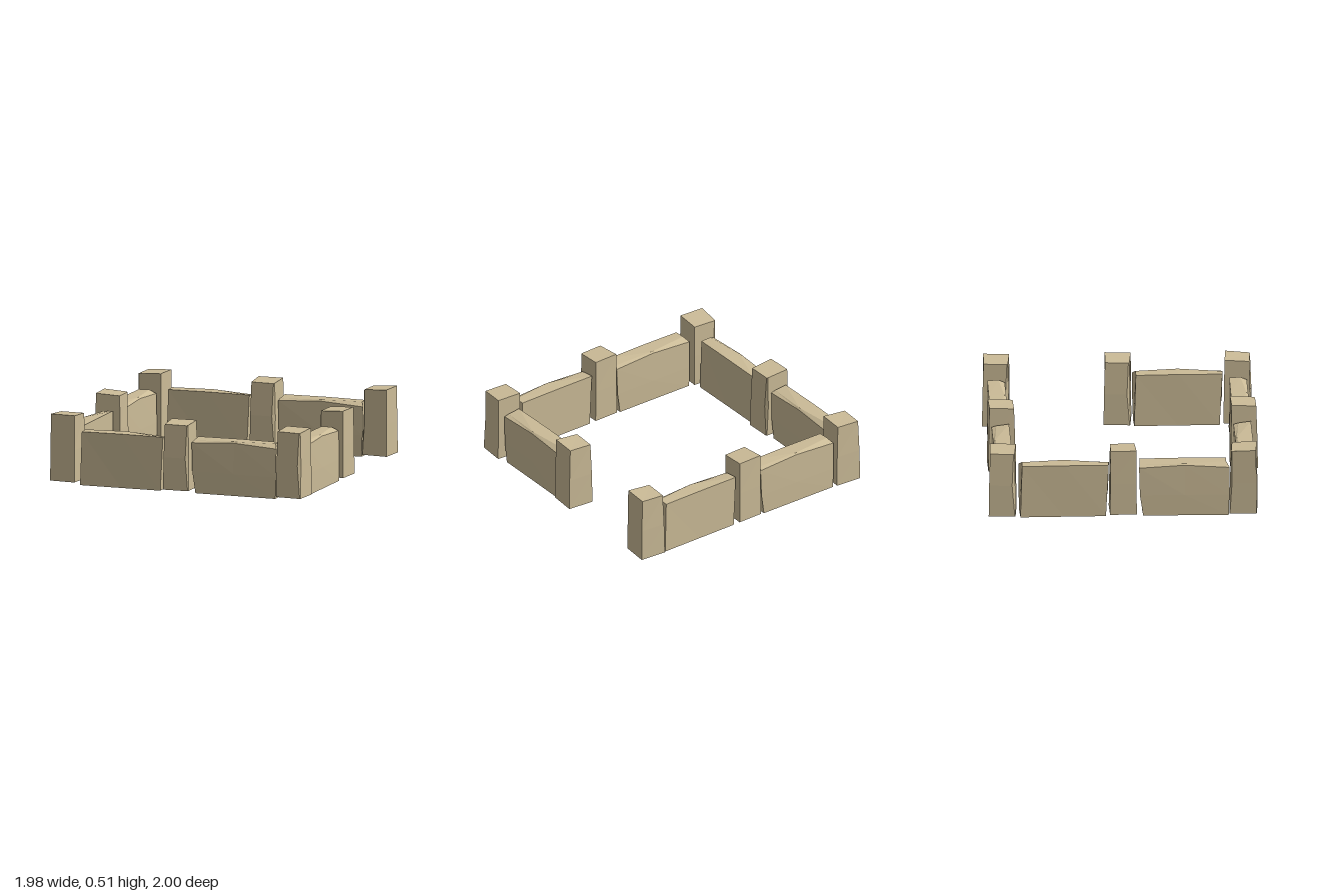
import * as THREE from 'three';

// Closed solid from matching cross-sections; each runs counter-clockwise seen from the end it advances to.
function loft(sections) {
  const pos = [];
  const tri = (a, b, c) => pos.push(...a, ...b, ...c);
  const n = sections[0].length;
  for (let j = 0; j < sections.length - 1; j++) {
    for (let i = 0; i < n; i++) {
      const k = (i + 1) % n;
      const [s, t] = [sections[j], sections[j + 1]];
      tri(s[i], s[k], t[k]);
      tri(s[i], t[k], t[i]);
    }
  }
  const first = sections[0], last = sections[sections.length - 1];
  for (let i = 1; i < n - 1; i++) {
    tri(first[0], first[i + 1], first[i]);
    tri(last[0], last[i], last[i + 1]);
  }
  const geo = new THREE.BufferGeometry();
  geo.setAttribute('position', new THREE.Float32BufferAttribute(pos, 3));
  geo.computeVertexNormals();
  return geo;
}

// Tapered square post with a chipped front right corner and a sloping top
function postGeometry() {
  return loft([
    [[0.095, 0.02, 0.1], [0.1, 0.02, 0.095], [0.1, 0.02, -0.1], [-0.096, 0.02, -0.1], [-0.096, 0.02, 0.1]],
    [[0.075, 0.26, 0.097], [0.097, 0.26, 0.08], [0.097, 0.26, -0.098], [-0.094, 0.26, -0.097], [-0.093, 0.26, 0.096]],
    [[0.085, 0.503, 0.087], [0.092, 0.505, 0.082], [0.095, 0.515, -0.095], [-0.095, 0.515, -0.092], [-0.086, 0.505, 0.088]],
  ]);
}

// Rough wall slab running along x, with a chipped top front edge
// Point order: bottom front, bottom back, top back, ridge, top front, knee
function wallGeometry() {
  return loft([
    [[-0.3, 0, 0.065], [-0.305, 0, -0.065], [-0.325, 0.398, -0.063], [-0.326, 0.385, 0.03], [-0.33, 0.373, 0.064], [-0.324, 0.16, 0.066]],
    [[0, 0, 0.066], [0, 0, -0.067], [0, 0.4, -0.066], [0, 0.4, 0.05], [0, 0.391, 0.062], [0, 0.16, 0.067]],
    [[0.325, 0, 0.068], [0.32, 0, -0.07], [0.308, 0.397, -0.066], [0.308, 0.4, 0.015], [0.332, 0.37, 0.062], [0.33, 0.16, 0.067]],
  ]);
}

export function createModel() {
  const group = new THREE.Group();
  const stone = new THREE.MeshStandardMaterial({ color: 0xcbbb97, flatShading: true });
  stone.name = 'sandstone';

  const place = (geo, name, x, z, degrees) => {
    const mesh = new THREE.Mesh(geo, stone);
    mesh.name = name;
    mesh.position.set(x, 0, z);
    mesh.rotation.y = THREE.MathUtils.degToRad(degrees);
    group.add(mesh);
  };

  // Posts at the corners and side middles, some slightly twisted
  const post = postGeometry();
  place(post, 'frontLeftPost', 0.882, 0.88, -4);
  place(post, 'frontMiddlePost', 0, 0.895, 1);
  place(post, 'frontRightPost', -0.885, 0.865, 176);
  place(post, 'leftMiddlePost', 0.882, 0, -94);
  place(post, 'rightMiddlePost', -0.878, -0.015, 91);
  place(post, 'backLeftPost', 0.882, -0.888, -94);
  place(post, 'backMiddlePost', 0, -0.875, 1);
  place(post, 'backRightPost', -0.885, -0.897, -94);

  // Walls between the posts; one stretch on the left side stays open
  const wall = wallGeometry();
  for (const [side, z] of [['front', 0.881], ['back', -0.887]]) {
    place(wall, side + 'LeftWall', 0.44, z, 0);
    place(wall, side + 'RightWall', -0.44, z, 180);
  }
  place(wall, 'leftSideFrontWall', 0.878, 0.442, 90);
  place(wall, 'rightSideFrontWall', -0.887, 0.43, 270);
  place(wall, 'rightSideBackWall', -0.887, -0.447, 90);

  return group;
}
